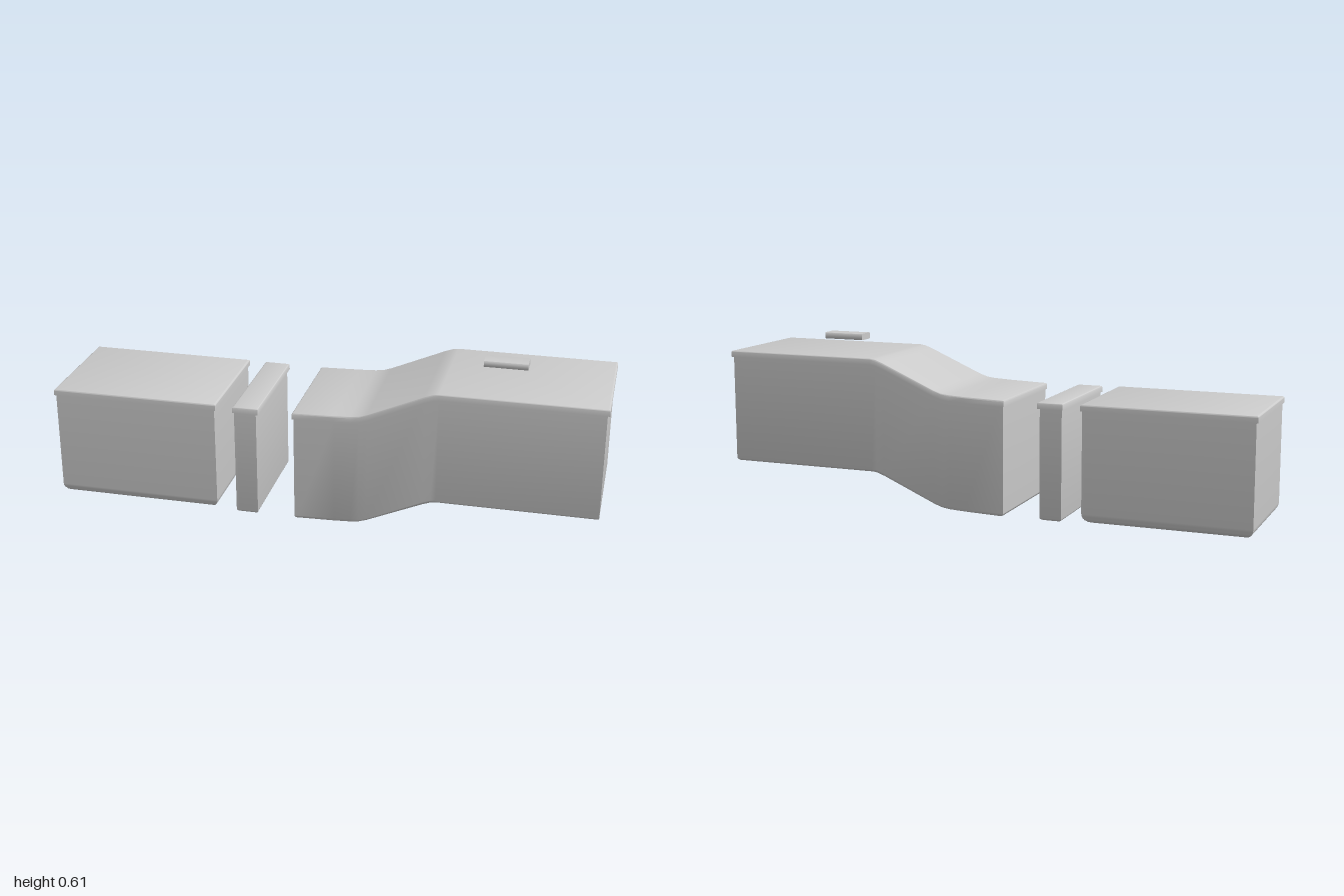
import * as THREE from 'three';
import { toCreasedNormals } from 'three/addons/utils/BufferGeometryUtils.js';

const material = new THREE.MeshStandardMaterial({ color: 0xcccccc });
const ARC = 6;

// Distance of a rounded-edge station from the edge, and its rise there
const arcInsets = (r) => Array.from({ length: ARC + 1 }, (_, i) => r * (1 - Math.cos((i / ARC) * Math.PI / 2)));
const rise = (d, r) => (d >= r ? 0 : r - Math.sqrt(Math.max(0, r * r - (r - d) ** 2)));

// Height of the path's polyline at x
function heightAt(path, x) {
  let i = 1;
  while (i < path.length - 1 && x > path[i][0]) i++;
  const [[x0, y0], [x1, y1]] = [path[i - 1], path[i]];
  return y0 + (y1 - y0) * (x - x0) / (x1 - x0);
}

// Slab from x0 to x1 whose underside follows the path; its bottom or top rim is rounded
function slab(name, path, x0, x1, height, halfWidth, r, roundTop) {
  const insets = arcInsets(r);
  const xs = [...insets.map((d) => x0 + d), ...insets.map((d) => x1 - d),
    ...path.map((p) => p[0]).filter((x) => x > x0 + r && x < x1 - r)].sort((a, b) => a - b);
  const zs = [...insets.map((d) => d - halfWidth), ...insets.map((d) => halfWidth - d)].sort((a, b) => a - b);
  const point = (i, j, top) => {
    const x = xs[i], z = zs[j];
    const d = Math.min(x - x0, x1 - x, halfWidth - Math.abs(z));
    const lift = rise(Math.max(0, d), r);
    const y = heightAt(path, x) + (top ? height : 0);
    return [x, top ? (roundTop ? y - lift : y) : (roundTop ? y : y + lift), z];
  };
  const pos = [];
  const quad = (a, b, c, d) => pos.push(...a, ...b, ...c, ...a, ...c, ...d);
  const nx = xs.length - 1, nz = zs.length - 1;
  for (let i = 0; i < nx; i++) {
    for (let j = 0; j < nz; j++) {
      quad(point(i, j, true), point(i, j + 1, true), point(i + 1, j + 1, true), point(i + 1, j, true));
      quad(point(i, j, false), point(i + 1, j, false), point(i + 1, j + 1, false), point(i, j + 1, false));
    }
    // Long walls
    quad(point(i, nz, false), point(i + 1, nz, false), point(i + 1, nz, true), point(i, nz, true));
    quad(point(i + 1, 0, false), point(i, 0, false), point(i, 0, true), point(i + 1, 0, true));
  }
  // End walls
  for (let j = 0; j < nz; j++) {
    quad(point(0, j, false), point(0, j + 1, false), point(0, j + 1, true), point(0, j, true));
    quad(point(nx, j + 1, false), point(nx, j, false), point(nx, j, true), point(nx, j + 1, true));
  }
  const geometry = new THREE.BufferGeometry();
  geometry.setAttribute('position', new THREE.Float32BufferAttribute(pos, 3));
  const mesh = new THREE.Mesh(toCreasedNormals(geometry, 0.6), material);
  mesh.name = name;
  return mesh;
}

// Small bar with a rounded cross-section and flat ends, lying along x
function topBar(x0, x1, y0, y1, halfWidth, r) {
  const h = (y1 - y0) / 2, w = halfWidth;
  const shape = new THREE.Shape();
  shape.absarc(w - r, h - r, r, 0, Math.PI / 2);
  shape.absarc(r - w, h - r, r, Math.PI / 2, Math.PI);
  shape.absarc(r - w, r - h, r, Math.PI, Math.PI * 1.5);
  shape.absarc(w - r, r - h, r, Math.PI * 1.5, Math.PI * 2);
  const geometry = new THREE.ExtrudeGeometry(shape, { depth: x1 - x0, bevelEnabled: false, curveSegments: ARC });
  geometry.rotateY(Math.PI / 2).translate(x0, y0 + h, 0);
  const mesh = new THREE.Mesh(toCreasedNormals(geometry, 0.6), material);
  mesh.name = 'topBar';
  return mesh;
}

export function createModel() {
  const model = new THREE.Group();
  model.name = 'segmentedCase';

  const flat = (y) => [[-1, y], [1, y]];
  const stepped = [[-0.11, 0], [0.05, 0.005], [0.11, 0.008], [0.14, 0.012], [0.17, 0.022],
    [0.37, 0.109], [0.4, 0.12], [0.42, 0.123], [1, 0.123]];

  // Each section: body extents, lid extents, underside path, rim radius
  const sections = [
    { name: 'endBlock', body: [-0.994, -0.39], lid: [-1, -0.384], path: flat(0.004), r: 0.035 },
    { name: 'middleBlock', body: [-0.316, -0.235], lid: [-0.321, -0.226], path: flat(0.002), r: 0.012 },
    { name: 'steppedBlock', body: [-0.097, 0.992], lid: [-0.102, 1], path: stepped, r: 0.012 },
  ];
  for (const { name, body, lid, path, r } of sections) {
    const group = new THREE.Group();
    group.name = name;
    const lidPath = path.map(([x, y]) => [x, y + 0.398]);
    group.add(
      slab('body', path, body[0], body[1], 0.4, 0.217, r, false),
      slab('lid', lidPath, lid[0], lid[1], 0.023, 0.222, 0.006, true),
    );
    model.add(group);
  }

  // Bar floating above the raised end
  model.add(topBar(0.546, 0.702, 0.582, 0.606, 0.033, 0.006));
  return model;
}
